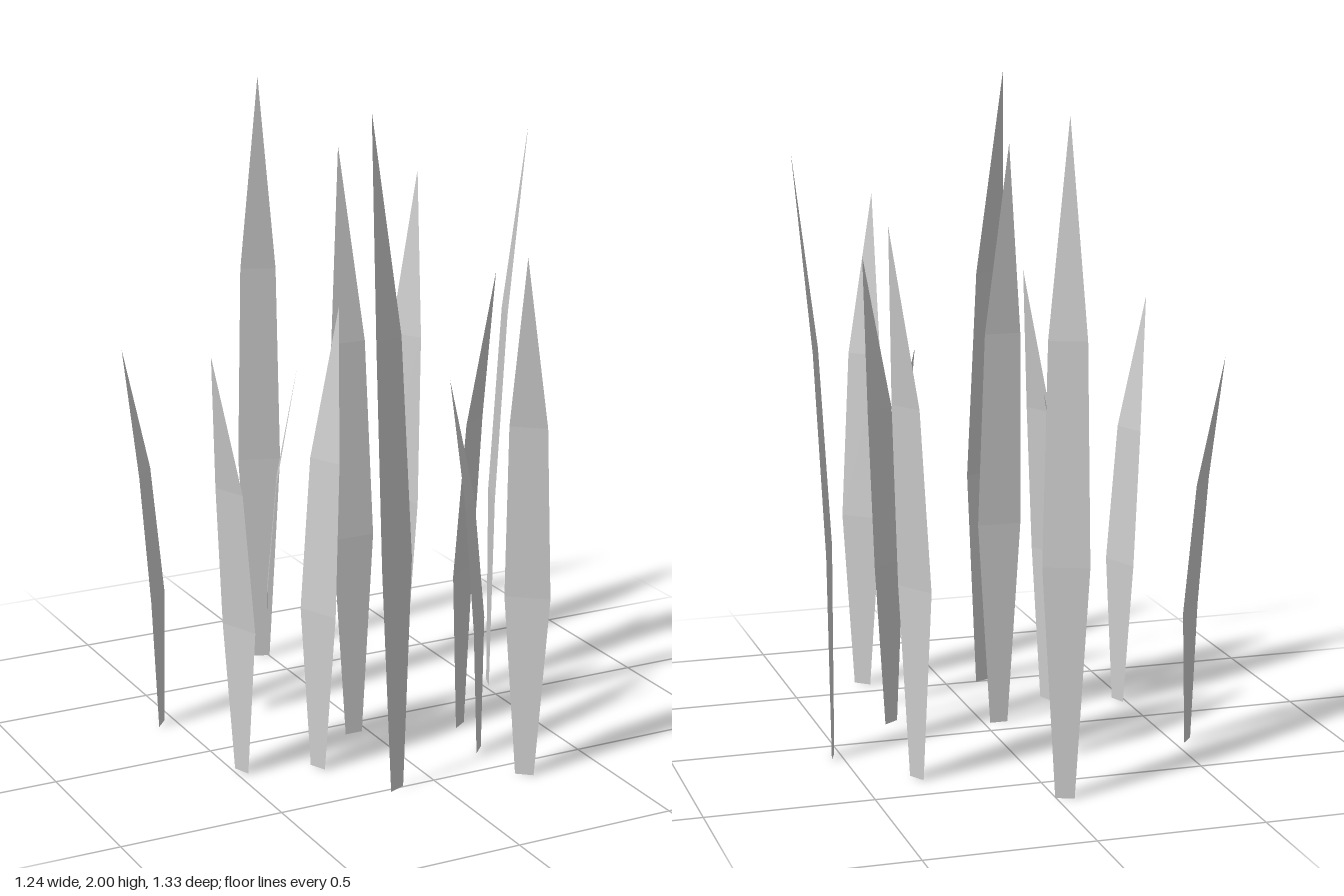
import * as THREE from 'three';

// Blade cross-sections of unit height: [half width, height, forward bend]
const SECTIONS = [
  [0.028, 0, -0.004],
  [0.068, 0.35, 0],
  [0.056, 0.68, 0.033],
  [0, 1, 0.097],
];

// Each blade: x, z, heading in degrees (bend direction, 0 = +z), height
const BLADES = [
  [-0.025, -0.645, -21, 1.95],
  [0.34, -0.358, 120, 1.64],
  [-0.55, -0.266, -130, 1.2],
  [-0.185, -0.254, 64, 1.1],
  [-0.048, 0.07, 180, 1.82],
  [-0.26, 0.257, 113, 1.4],
  [0.53, -0.097, 69, 1.82],
  [-0.128, 0.503, -157, 2.0],
  [-0.482, 0.181, -70, 1.3],
  [0.276, 0.173, 35, 1.46],
  [0.227, 0.362, -133, 1.16],
  [0.257, 0.59, -40, 1.6],
];

// Thin bent strip that tapers to a single point
function bladeGeometry() {
  const positions = [];
  const index = [];
  const last = SECTIONS.length - 1;
  SECTIONS.forEach(([w, y, z], i) => {
    if (i === last) {
      positions.push(0, y, z);
      return;
    }
    positions.push(-w, y, z, w, y, z);
    const a = i * 2;
    index.push(a, a + 1, a + 2);
    if (i < last - 1) index.push(a + 1, a + 3, a + 2);
  });
  const geometry = new THREE.BufferGeometry();
  geometry.setAttribute('position', new THREE.Float32BufferAttribute(positions, 3));
  geometry.setIndex(index);
  const flat = geometry.toNonIndexed();
  flat.computeVertexNormals();
  return flat;
}

export function createModel() {
  const group = new THREE.Group();
  group.name = 'grassTuft';
  const material = new THREE.MeshStandardMaterial({
    color: 0xcccccc,
    flatShading: true,
    side: THREE.DoubleSide,
  });
  const geometry = bladeGeometry();

  // Scattered grass blades
  BLADES.forEach(([x, z, heading, height], i) => {
    const blade = new THREE.Mesh(geometry, material);
    blade.name = `grassBlade${i + 1}`;
    blade.position.set(x, 0, z);
    blade.rotation.y = THREE.MathUtils.degToRad(heading);
    blade.scale.y = height;
    group.add(blade);
  });
  return group;
}
